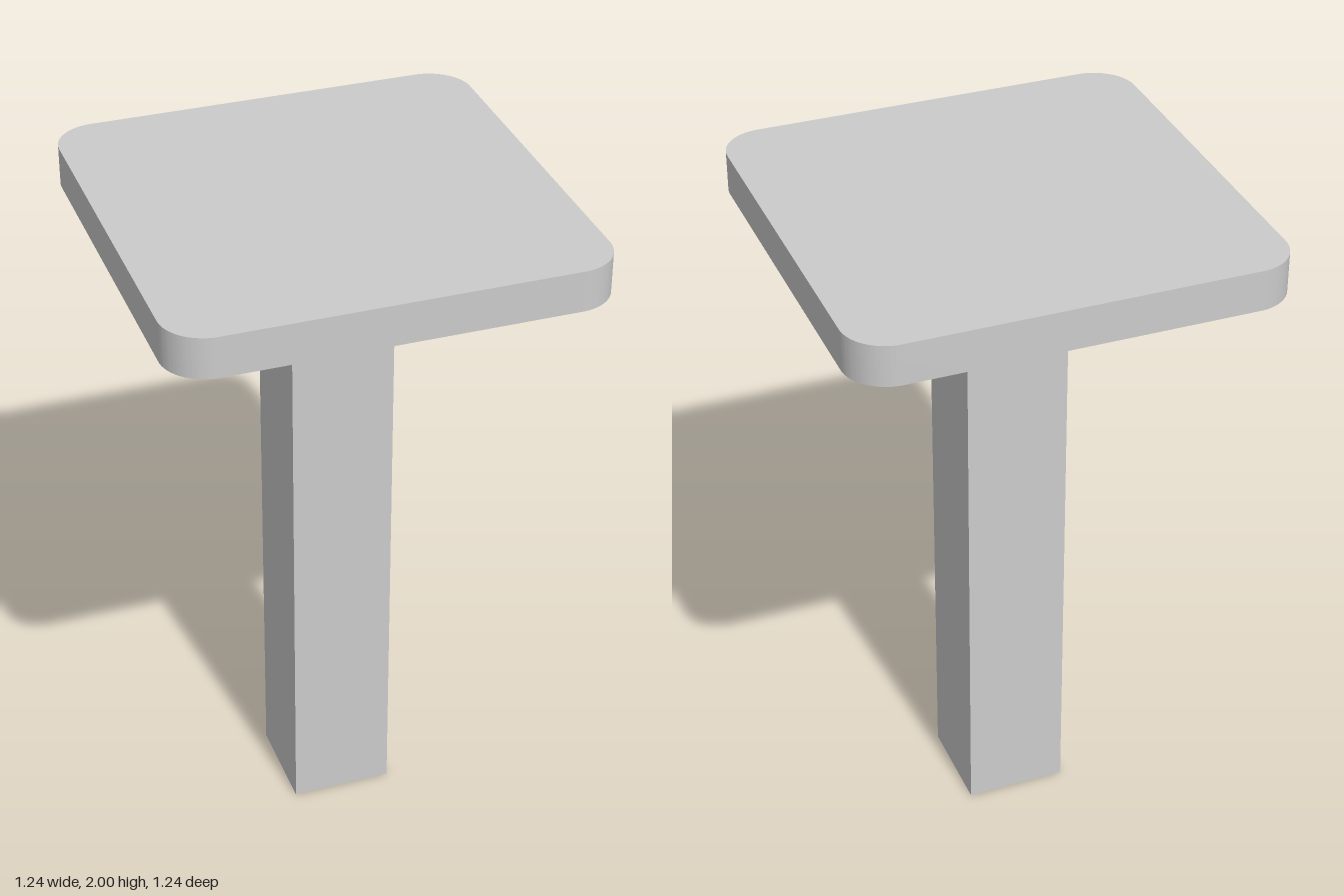
import * as THREE from 'three';
import { toCreasedNormals } from 'three/addons/utils/BufferGeometryUtils.js';

const HEIGHT = 2;
const TOP_THICKNESS = 0.12;
const TOP_HALF = 0.62;
const CORNER_RADIUS = 0.125;
const POST_WIDTH = 0.3;

// Square outline with rounded corners, counter-clockwise
function roundedSquare(half, radius) {
  const shape = new THREE.Shape();
  const c = half - radius;
  [[c, c], [-c, c], [-c, -c], [c, -c]].forEach(([x, y], i) => {
    shape.absarc(x, y, radius, i * Math.PI / 2, (i + 1) * Math.PI / 2, false);
  });
  shape.closePath();
  return shape;
}

export function createModel() {
  const group = new THREE.Group();
  group.name = 'pedestalTable';
  const material = new THREE.MeshStandardMaterial({ color: 0xcccccc });

  // Square post
  const postHeight = HEIGHT - TOP_THICKNESS;
  const post = new THREE.Mesh(new THREE.BoxGeometry(POST_WIDTH, postHeight, POST_WIDTH), material);
  post.name = 'post';
  post.position.y = postHeight / 2;
  group.add(post);

  // Slab top with smooth rounded corners
  const slab = new THREE.ExtrudeGeometry(roundedSquare(TOP_HALF, CORNER_RADIUS), {
    depth: TOP_THICKNESS, bevelEnabled: false, curveSegments: 16,
  });
  slab.rotateX(-Math.PI / 2);
  const top = new THREE.Mesh(toCreasedNormals(slab, Math.PI / 6), material);
  top.name = 'tableTop';
  top.position.y = postHeight;
  group.add(top);

  return group;
}
